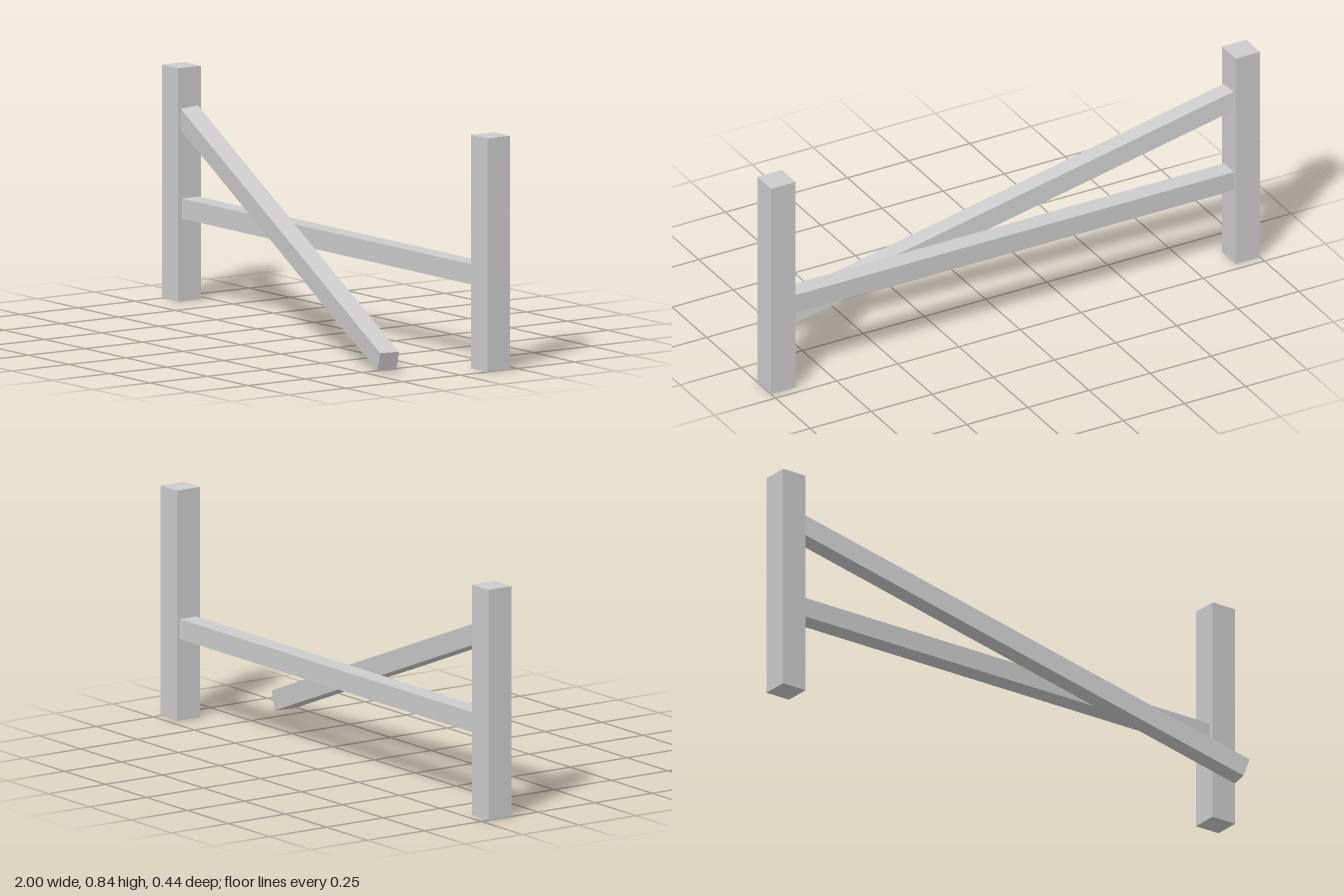
import * as THREE from 'three';

export function createModel() {
  const group = new THREE.Group();
  group.name = 'brokenFence';
  const material = new THREE.MeshStandardMaterial({ color: 0xcccccc, flatShading: true });
  const backZ = -0.168;
  const railSize = 0.073;

  // Square beam running between two points, with its sides kept level
  function addRail(name, start, end) {
    const along = end.clone().sub(start);
    const mesh = new THREE.Mesh(new THREE.BoxGeometry(along.length(), railSize, railSize), material);
    mesh.name = name;
    mesh.position.copy(start).add(end).multiplyScalar(0.5);
    mesh.rotation.order = 'YZX';
    mesh.rotation.y = -Math.atan2(along.z, along.x);
    mesh.rotation.z = Math.atan2(along.y, Math.hypot(along.x, along.z));
    group.add(mesh);
  }

  // Two upright posts
  for (const side of [-1, 1]) {
    const post = new THREE.Mesh(new THREE.BoxGeometry(0.1, 0.843, 0.1), material);
    post.name = side > 0 ? 'leftPost' : 'rightPost';
    post.position.set(side * 0.95, 0.4215, backZ);
    group.add(post);
  }

  // Lower rail still in place, its ends let into the posts
  addRail('lowerRail', new THREE.Vector3(-0.92, 0.335, backZ - 0.002), new THREE.Vector3(0.92, 0.335, backZ - 0.002));

  // Upper rail fallen forward, one end resting on the ground
  addRail('fallenRail', new THREE.Vector3(-0.92, 0.667, -0.171), new THREE.Vector3(0.811, 0.041, 0.181));

  return group;
}
